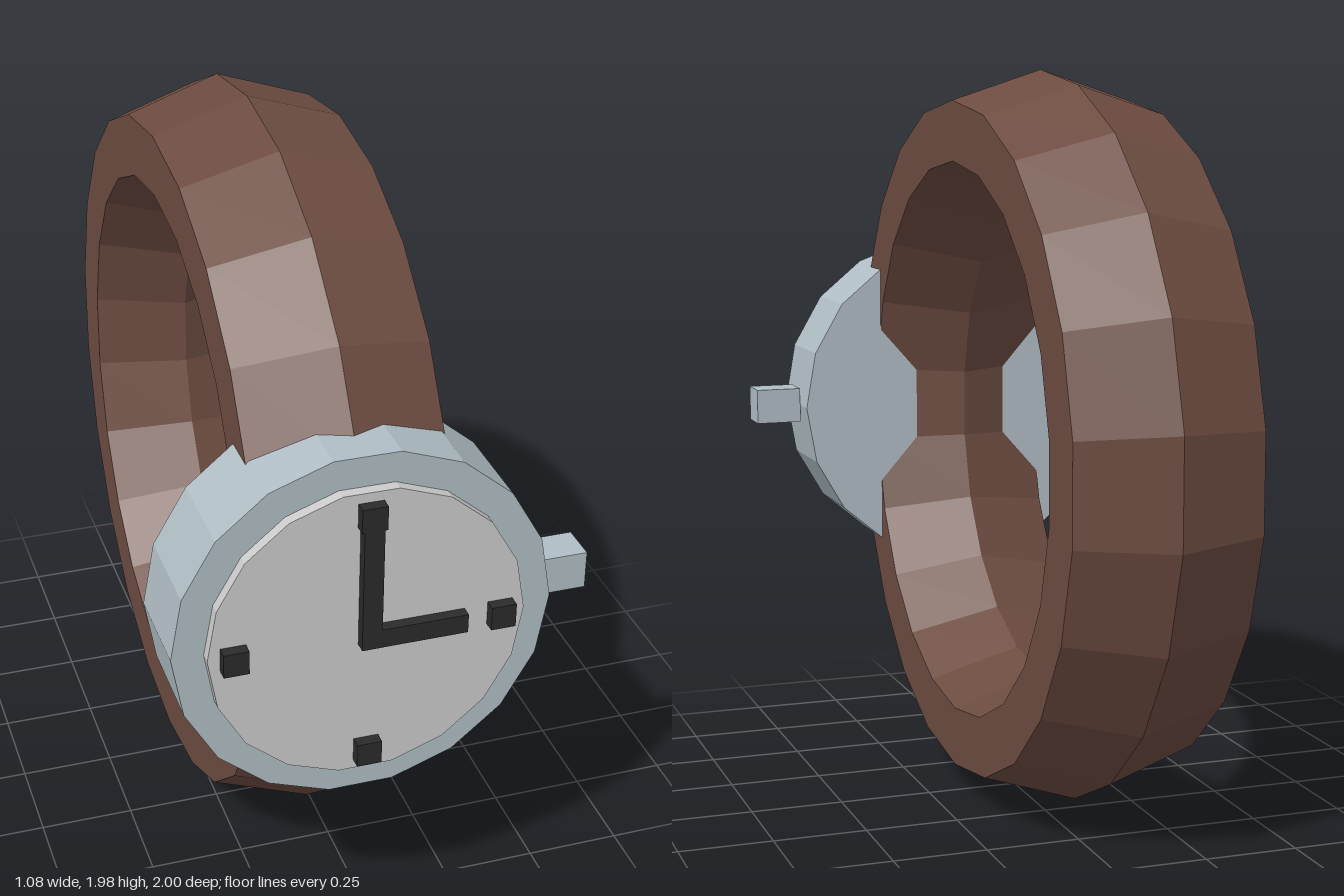
import * as THREE from 'three';

export function createModel() {
  const model = new THREE.Group();
  const CX = -0.067, CY = 0.998; // centre of the dial

  const mat = (color) => new THREE.MeshStandardMaterial({ color, flatShading: true });
  const leather = mat(0x6d4c41), steel = mat(0xb0bec5), dialGrey = mat(0xcccccc), black = mat(0x2b2b2b);

  const add = (name, geometry, material, x, y, z) => {
    const mesh = new THREE.Mesh(geometry, material);
    mesh.name = name;
    mesh.position.set(x, y, z);
    model.add(mesh);
    return mesh;
  };
  const box = (name, material, w, h, d, x, y, z) =>
    add(name, new THREE.BoxGeometry(w, h, d), material, x, y, z);

  // 18-sided disc facing the front, with a corner on the +x side
  const disc = (name, material, radius, z0, z1) => {
    const g = new THREE.CylinderGeometry(radius, radius, z1 - z0, 18);
    g.rotateY(Math.PI / 2).rotateX(Math.PI / 2);
    // corners at +x and -x
    return add(name, g, material, CX, CY, (z0 + z1) / 2);
  };

  // Strap: closed ring with a wide six-sided section, a corner at the very top
  const strap = new THREE.TorusGeometry(0.828, 0.16, 6, 22);
  strap.rotateZ(Math.PI / 2).scale(1, 1, 1.785).rotateY(Math.PI / 2);
  add('strap', strap, leather, CX, CY, -0.02);

  // Case, dial and crown
  disc('case', steel, 0.477, 0.685, 0.94);
  disc('dial', dialGrey, 0.397, 0.93, 0.97);
  box('crown', steel, 0.13, 0.1, 0.1, 0.475, CY, 0.815);

  // Hour markers at the four quarters
  for (let i = 0; i < 4; i++) {
    const a = (i * Math.PI) / 2;
    box('hourMarker', black, 0.063, 0.063, 0.035,
      CX + 0.334 * Math.cos(a), CY + 0.334 * Math.sin(a), 0.9825);
  }

  // Hands
  box('minuteHand', black, 0.05, 0.36, 0.034, CX, CY + 0.155, 0.9825);
  box('hourHand', black, 0.25, 0.05, 0.034, CX + 0.118, CY, 0.982);

  return model;
}
